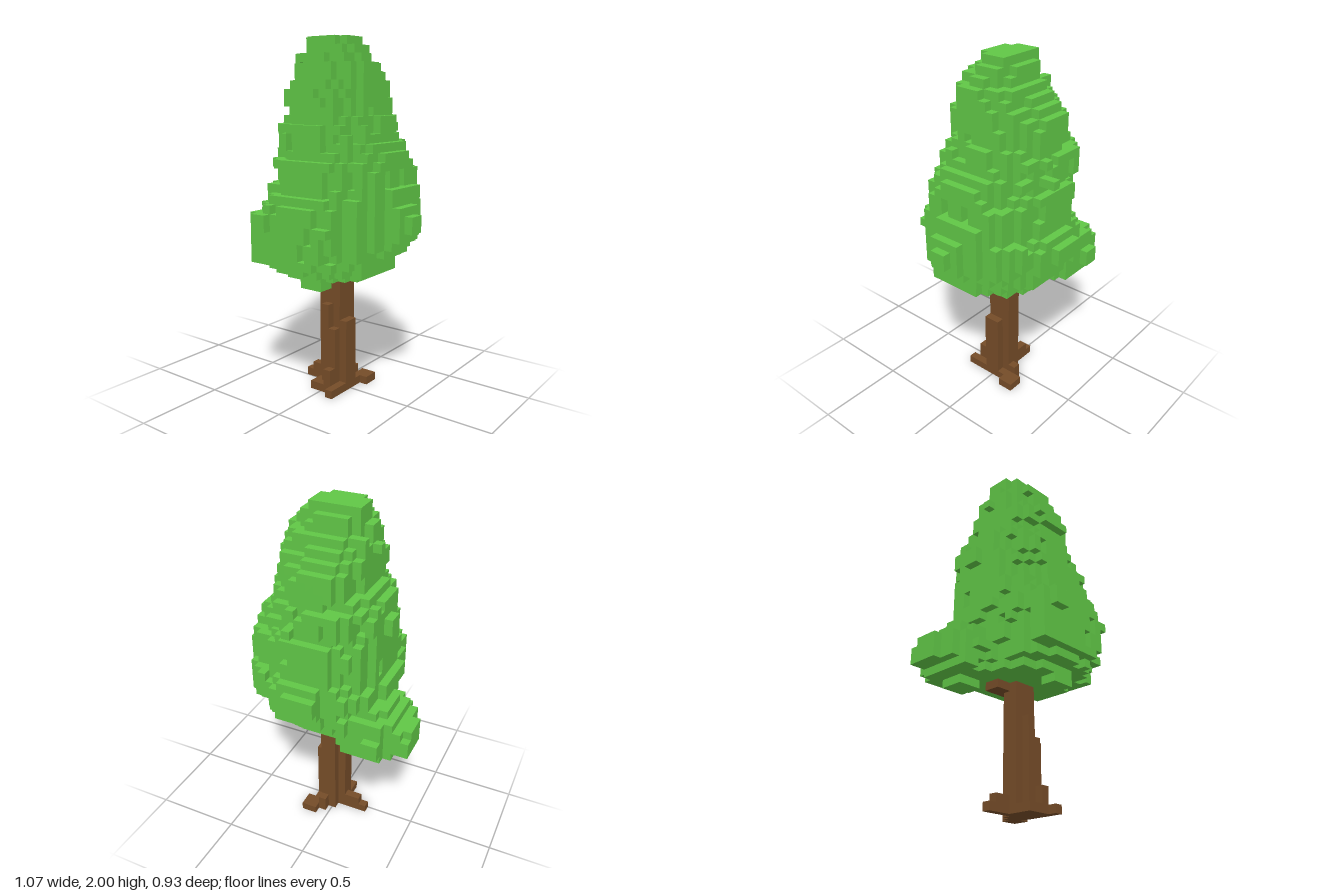
import * as THREE from 'three';

const S = 2 / 43;              // edge of one cube
const NX = 23, NY = 43, NZ = 20;

// Crown layers from bottom to top, in cubes: [x from, x to, z from, z to]
const LAYERS = [
  [6, 17, 5, 16], [5, 19, 4, 18], [5, 19, 3, 19], [5, 20, 2, 19], [5, 21, 2, 19],
  [5, 22, 1, 19], [4, 23, 0, 19], [4, 23, 0, 19], [5, 22, 1, 19], [5, 21, 2, 18],
  [5, 21, 2, 17], [5, 20, 2, 17], [5, 20, 2, 17], [5, 20, 2, 17], [5, 20, 3, 16],
  [5, 19, 2, 16], [5, 18, 2, 16], [5, 18, 2, 16], [6, 18, 3, 15], [7, 17, 3, 15],
  [7, 17, 3, 16], [7, 17, 3, 16], [7, 17, 4, 15], [7, 17, 5, 14], [7, 17, 6, 14],
  [7, 16, 7, 14], [8, 15, 7, 12], [8, 14, 8, 12],
];
const FIRST = 15;
const CX = 11.25, CZ = 9.75;   // crown axis

// Plan outline of the crown from back to front: [x from, x to]
const PLAN = [
  [10, 14], [10, 16], [7, 18], [3, 19], [0, 20], [0, 20], [0, 21], [0, 21], [1, 22], [1, 23],
  [2, 23], [2, 22], [4, 20], [5, 20], [5, 19], [5, 19], [6, 17], [6, 17], [6, 17], [7, 9],
];

// Left limit of the low bough, layer by layer
const BOUGH = [2, 0, 0, 0, 2, 3];

// Tufts and twigs standing out of the crown: [x, x, y, y, z, z]
const TUFTS = [
  [4, 7, 14, 15, 5, 8], [11, 14, 14, 15, 14, 16],                 // underneath
  [7, 9, 21, 23, 18, 20], [6, 10, 17, 23, 17, 19],                // front
  [10, 14, 21, 23, 0, 2], [10, 16, 20, 23, 1, 3],                 // back
  [3, 5, 16, 18, 2, 4], [6, 8, 38, 39, 9, 10], [4, 6, 29, 31, 8, 10], // right
  [13, 14, 30, 31, 1, 4],
  [8, 14, 41, 43, 8, 10], [9, 12, 41, 43, 10, 12],                // tip
];

// Repeatable noise in 0..1
function noise(i, j, k) {
  const s = Math.sin(i * 12.9898 + j * 78.233 + k * 37.719) * 43758.5453;
  return s - Math.floor(s);
}

const key = (i, j, k) => (j * 64 + k) * 64 + i;

// Distance of a cube from the axis, 0 at the axis and 1 at the layer's edge
const reach = (n, axis, from, to) =>
  n + 0.5 < axis ? (axis - n - 0.5) / (axis - from) : (n + 0.5 - axis) / (to - axis);

// Set of filled cubes, with helpers
class Cubes {
  constructor() { this.cells = new Map(); }
  add(i, j, k) { this.cells.set(key(i, j, k), [i, j, k]); }
  has(i, j, k) { return this.cells.has(key(i, j, k)); }
  box(i0, i1, j0, j1, k0, k1) {
    for (let i = i0; i < i1; i++)
      for (let j = j0; j < j1; j++)
        for (let k = k0; k < k1; k++) this.add(i, j, k);
  }
  // Emits only the faces that border on air
  geometry() {
    const pos = [], nor = [];
    for (const c of this.cells.values()) {
      for (let a = 0; a < 3; a++) for (const d of [1, -1]) {
        const n = [0, 0, 0];
        n[a] = d;
        if (this.has(c[0] + n[0], c[1] + n[1], c[2] + n[2])) continue;
        const u = (a + 1) % 3, v = (a + 2) % 3;
        const ring = [[0, 0], [1, 0], [1, 1], [0, 1]].map(([p, q]) => {
          const w = [...c];
          w[a] += d > 0 ? 1 : 0;
          w[u] += p;
          w[v] += q;
          return [(w[0] - NX / 2) * S, w[1] * S, (w[2] - NZ / 2) * S];
        });
        if (d < 0) ring.reverse();
        for (const t of [0, 1, 2, 0, 2, 3]) { pos.push(...ring[t]); nor.push(...n); }
      }
    }
    const g = new THREE.BufferGeometry();
    g.setAttribute('position', new THREE.Float32BufferAttribute(pos, 3));
    g.setAttribute('normal', new THREE.Float32BufferAttribute(nor, 3));
    return g;
  }
}

function buildCrown() {
  const crown = new Cubes();
  for (let j = FIRST; j < NY; j++) {
    const [x0, x1, z0, z1] = LAYERS[j - FIRST];
    for (let k = 0; k < NZ; k++) {
      for (let i = PLAN[k][0]; i < PLAN[k][1]; i++) {
        // Rounded layer with a ragged edge, broader at the lower front
        const power = k > CZ && j < 30 ? 2.1 : 1.8;
        const round = reach(i, CX, x0, x1) ** power + reach(k, CZ, z0, z1) ** power;
        const rough = 0.34 * noise(i, j >> 1, k) + 0.14 * noise(i >> 1, j >> 2, k >> 1) - 0.26;
        const inLayer = i >= x0 && i < x1 && k >= z0 && k < z1 && round + rough < 1.06;
        // Low bough on one side
        const bough = j < 21 && k > 2 && i >= BOUGH[j - FIRST] &&
          ((i - 4) / 4.9) ** 2 + ((j - 16.8) / 3.7) ** 2 + ((k - 6) / 5) ** 2 + rough < 1;
        if (inLayer || bough) crown.add(i, j, k);
      }
    }
  }
  for (const tuft of TUFTS) crown.box(...tuft);
  return crown;
}

function buildTrunk() {
  const trunk = new Cubes();
  // Stem with a notched corner
  trunk.box(10, 13, 0, 18, 9, 11);
  trunk.box(11, 13, 0, 18, 8, 9);
  // Ridges along the stem
  trunk.box(11, 12, 0, 11, 11, 12);
  trunk.box(12, 13, 0, 8, 11, 12);
  trunk.box(13, 14, 0, 9, 9, 11);
  // Branch stub
  trunk.box(8, 11, 14, 15, 8, 10);
  // Roots
  trunk.box(7, 10, 0, 1, 9, 10);
  trunk.box(8, 10, 1, 2, 9, 10);
  trunk.box(10, 12, 0, 1, 11, 13);
  trunk.box(12, 14, 0, 1, 11, 13);
  trunk.box(13, 14, 0, 1, 13, 14);
  trunk.box(12, 13, 1, 3, 12, 13);
  trunk.box(12, 14, 0, 1, 7, 9);
  trunk.box(12, 13, 1, 2, 7, 8);
  trunk.box(13, 15, 0, 1, 6, 8);
  return trunk;
}

export function createModel() {
  const leafGreen = new THREE.MeshStandardMaterial({ color: 0x60c646 });
  leafGreen.name = 'leaf green';
  const barkBrown = new THREE.MeshStandardMaterial({ color: 0x754c28 });
  barkBrown.name = 'bark brown';

  const tree = new THREE.Group();
  tree.name = 'tree';
  for (const [name, cubes, material] of [
    ['crown', buildCrown(), leafGreen],
    ['trunk', buildTrunk(), barkBrown],
  ]) {
    const mesh = new THREE.Mesh(cubes.geometry(), material);
    mesh.name = name;
    tree.add(mesh);
  }
  return tree;
}
